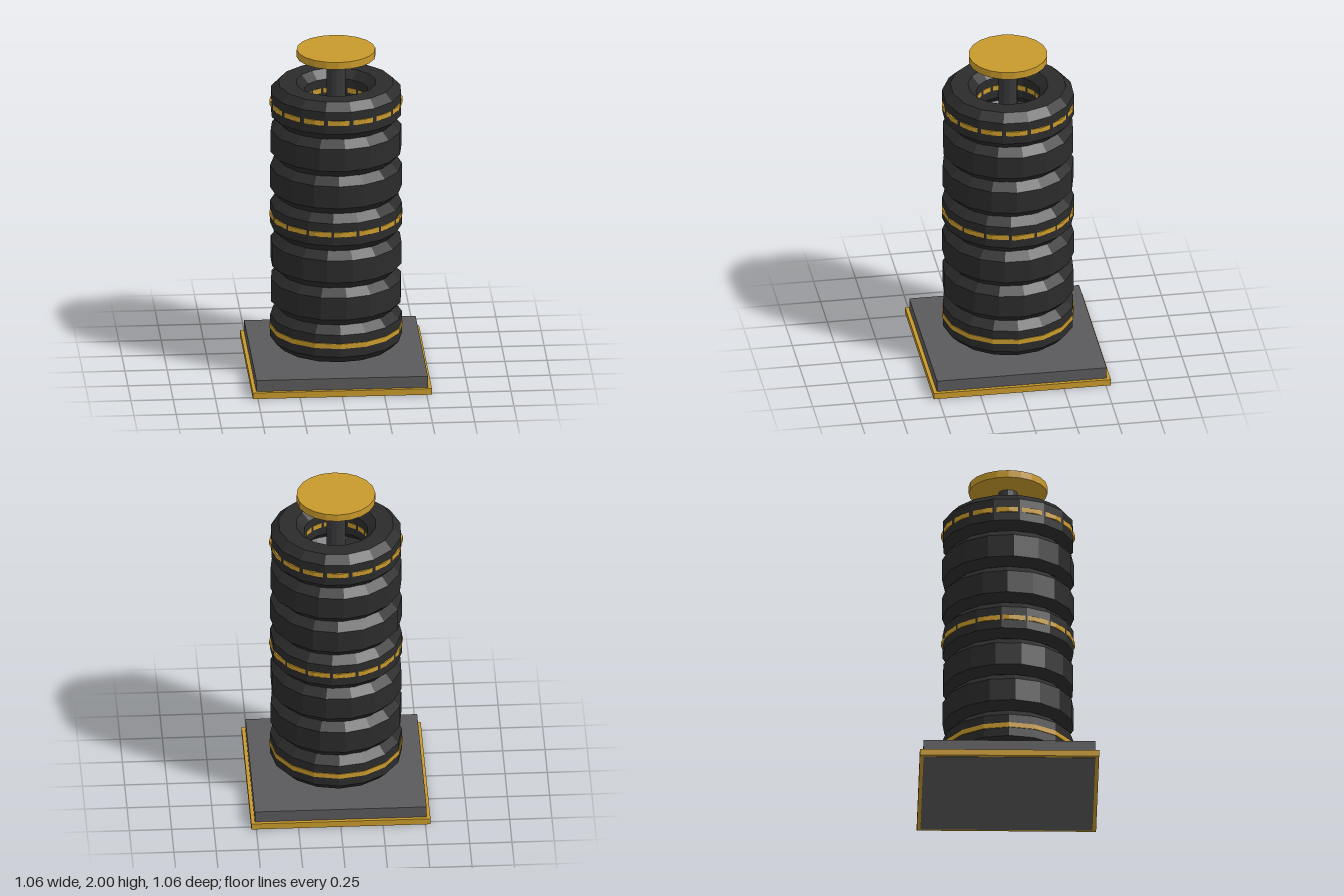
import * as THREE from 'three';

const mat = (color) => new THREE.MeshStandardMaterial({ color, flatShading: true });
const gold = mat(0xc99a2c);
const rubber = mat(0x2b2b2b);
const slate = mat(0x5a5a5c);
const steel = mat(0x37373a);

const SIDES = 16;
const TIRES = 7;
const FLOOR = 0.15;    // underside of the lowest tire
const PITCH = 0.2343;  // height of one tire
const TWIST = -0.3;    // turn from one tire to the next

export function createModel() {
  const model = new THREE.Group();
  model.name = 'tireStack';

  const add = (name, geometry, material, y, parent = model) => {
    const mesh = new THREE.Mesh(geometry, material);
    mesh.name = name;
    mesh.position.y = y;
    parent.add(mesh);
    return mesh;
  };

  // Closed ring with chamfered corners, turned around the y axis
  const ring = (inner, outer, height, bevel) => {
    const h = height / 2;
    const k = h - bevel;
    const points = bevel > 0
      ? [[outer, -k], [outer, k], [outer - bevel, h], [inner + bevel, h],
         [inner, k], [inner, -k], [inner + bevel, -h], [outer - bevel, -h], [outer, -k]]
      : [[outer, -h], [outer, h], [inner, h], [inner, -h], [outer, -h]];
    return new THREE.LatheGeometry(points.map(([r, y]) => new THREE.Vector2(r, y)), SIDES);
  };

  // Square base: slab with a wider gold border around its foot
  add('baseBorder', new THREE.BoxGeometry(1.06, 0.038, 1.06), gold, 0.021);
  add('baseSlab', new THREE.BoxGeometry(1.016, 0.11, 1.016), slate, 0.055);

  // Collar, post and cap
  add('postCollar', new THREE.CylinderGeometry(0.197, 0.197, 0.06, SIDES), steel, 0.14);
  add('post', new THREE.CylinderGeometry(0.057, 0.057, 1.86, 12), steel, 1.03);
  add('cap', new THREE.CylinderGeometry(0.233, 0.233, 0.045, 20), gold, 1.9775);

  // Stacked tires, every third one banded
  const tireShape = ring(0.19, 0.39, PITCH, 0.048);
  const bandShape = ring(0.188, 0.395, 0.03, 0);
  for (let i = 0; i < TIRES; i++) {
    const y = FLOOR + PITCH * (i + 0.5);
    add('tire', tireShape, rubber, y).rotation.y = i * TWIST;
    if (i % 3 === 0) add('tireBand', bandShape, gold, y);
  }

  return model;
}
